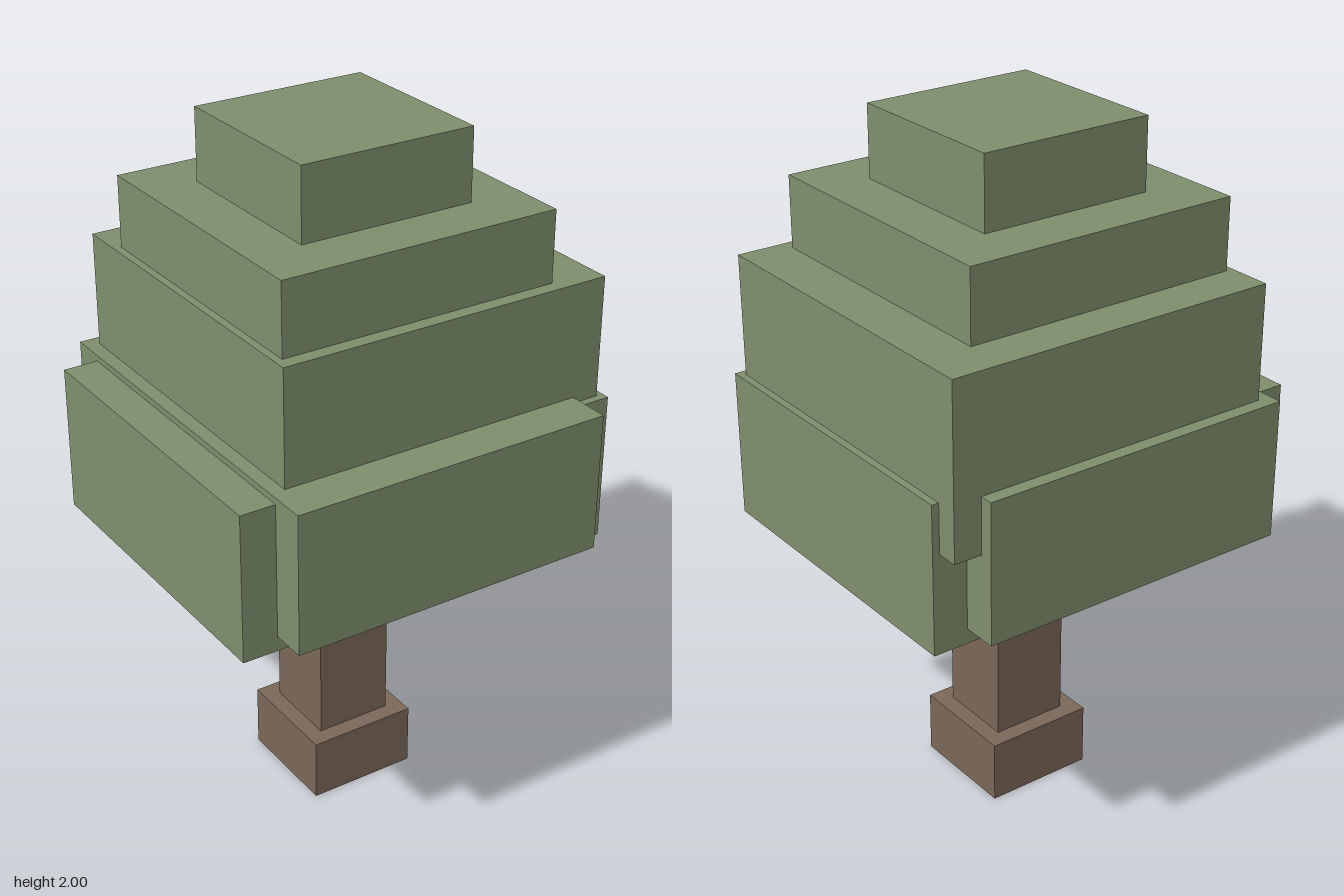
import * as THREE from 'three';

export function createModel() {
  const tree = new THREE.Group();
  tree.name = 'tree';

  const leafGreen = new THREE.MeshStandardMaterial({ name: 'leaf green', color: 0x7f8f6e });
  const barkBrown = new THREE.MeshStandardMaterial({ name: 'bark brown', color: 0x7b6859 });

  // Box given by its lower and upper limits on each axis
  function block(name, material, [x0, x1], [y0, y1], [z0, z1]) {
    const mesh = new THREE.Mesh(new THREE.BoxGeometry(x1 - x0, y1 - y0, z1 - z0), material);
    mesh.position.set((x0 + x1) / 2, (y0 + y1) / 2, (z0 + z1) / 2);
    mesh.name = name;
    tree.add(mesh);
  }
  const span = (half) => [-half, half];

  // Trunk with a wider foot and one branch stub on its left
  block('trunkBase', barkBrown, span(0.163), [0, 0.185], span(0.163));
  block('trunk', barkBrown, span(0.114), [0.185, 0.81], span(0.114));
  block('branch', barkBrown, [0.114, 0.297], [0.625, 0.81], span(0.072));

  // Lower foliage: two crossed slabs
  block('lowerLeavesWide', leafGreen, span(0.576), [0.81, 1.24], span(0.474));
  block('lowerLeavesDeep', leafGreen, span(0.474), [0.853, 1.258], span(0.576));

  // Off-centre middle tier and the two crown tiers
  block('middleLeaves', leafGreen, [-0.433, 0.555], [1.096, 1.59], [-0.537, 0.451]);
  block('upperLeaves', leafGreen, span(0.411), [1.59, 1.795], span(0.411));
  block('topLeaves', leafGreen, span(0.257), [1.795, 2], span(0.257));

  return tree;
}
